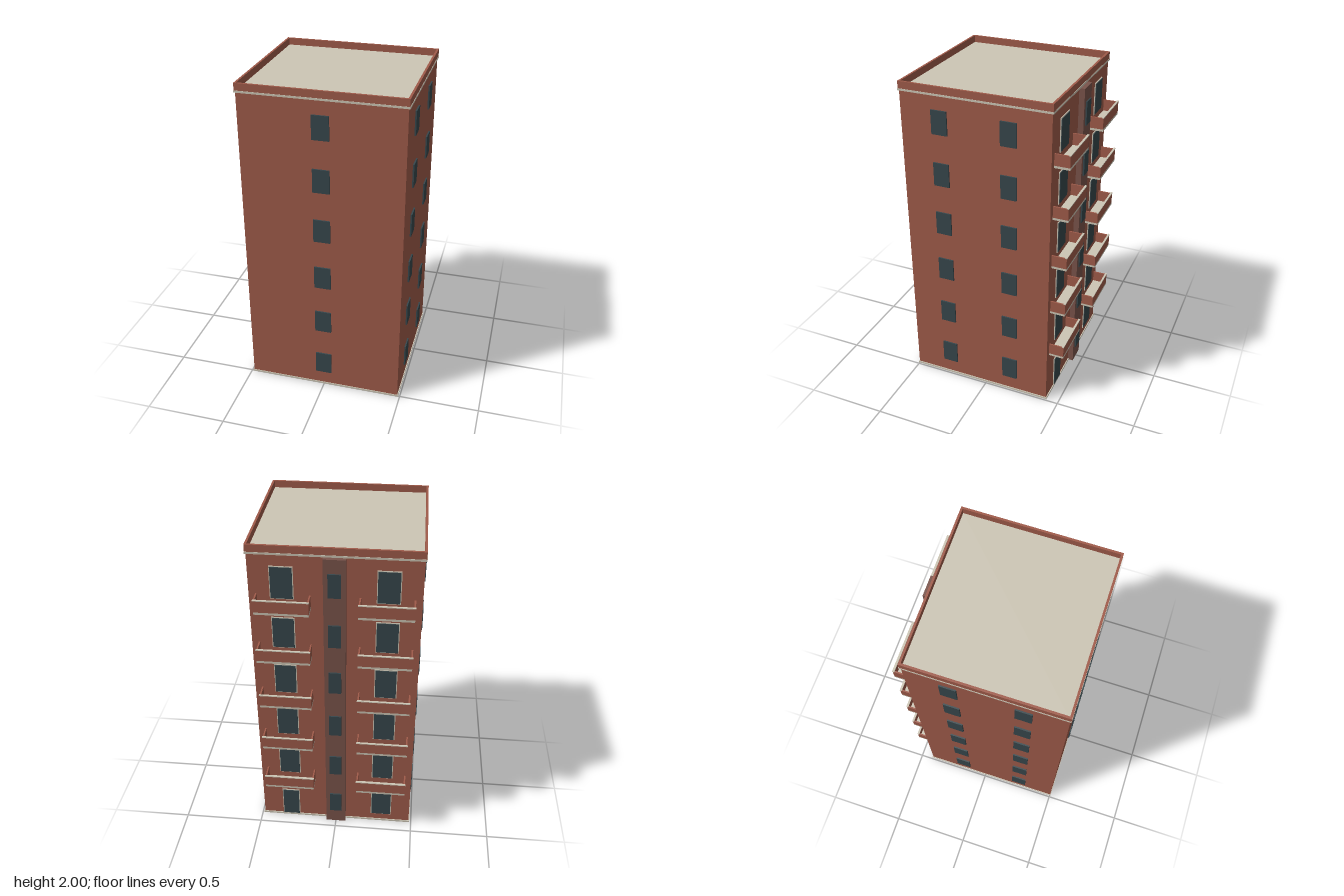
import * as THREE from 'three';

const mat = (name, color) => {
  const m = new THREE.MeshStandardMaterial({ color });
  m.name = name;
  return m;
};

export function createModel() {
  const brick = mat('brick', 0xa05b4a);
  const stone = mat('paleStone', 0xcdc6b5);
  const glass = mat('darkGlass', 0x37474c);
  const shaftBrown = mat('shaftBrown', 0x7a544b);

  const model = new THREE.Group();
  model.name = 'apartmentBlock';

  // Box given by its minimum and maximum on each axis
  const box = (parent, name, material, [x0, x1], [y0, y1], [z0, z1]) => {
    const mesh = new THREE.Mesh(new THREE.BoxGeometry(x1 - x0, y1 - y0, z1 - z0), material);
    mesh.position.set((x0 + x1) / 2, (y0 + y1) / 2, (z0 + z1) / 2);
    mesh.name = name;
    parent.add(mesh);
    return mesh;
  };

  const FLOORS = 6, STEP = 0.323;
  const W = 0.484, FRONT = 0.502, BACK = -0.416;
  const EX = 0.49, EF = 0.506, EB = -0.422;
  const PLATE = 0.009;

  // Main volume, base course and cornice
  box(model, 'walls', brick, [-W, W], [0.012, 1.945], [BACK, FRONT]);
  box(model, 'baseCourse', stone, [-EX, EX], [0, 0.012], [EB, EF]);
  box(model, 'corniceAndRoof', stone, [-EX - 0.002, EX + 0.002], [1.945, 1.957], [EB - 0.002, EF + 0.002]);

  // Hollow roof parapet
  const t = 0.013;
  const ring = new THREE.Shape();
  ring.moveTo(-EX, -EF).lineTo(EX, -EF).lineTo(EX, -EB).lineTo(-EX, -EB).closePath();
  const hole = new THREE.Path();
  hole.moveTo(-EX + t, -EF + t).lineTo(-EX + t, -EB - t).lineTo(EX - t, -EB - t).lineTo(EX - t, -EF + t).closePath();
  ring.holes.push(hole);
  const parapet = new THREE.Mesh(new THREE.ExtrudeGeometry(ring, { depth: 0.043, bevelEnabled: false }), brick);
  parapet.rotation.x = -Math.PI / 2;
  parapet.position.y = 1.957;
  parapet.name = 'roofParapet';
  model.add(parapet);

  // Stair shaft on the back
  box(model, 'stairShaft', shaftBrown, [-0.063, 0.063], [0, 1.945], [-0.45, BACK]);

  // Framed opening on the back wall
  const backOpening = (parent, name, cx, w, y0, y1) => {
    const f = 0.005;
    box(parent, name + 'Frame', stone, [cx - w / 2, cx + w / 2], [y0, y1], [BACK - 0.005, BACK]);
    box(parent, name + 'Pane', glass, [cx - w / 2 + f, cx + w / 2 - f], [y0 + f, y1 - f], [BACK - PLATE, BACK]);
  };

  // Balcony: slab, side walls, front wall with cap
  const balcony = (parent, side, y) => {
    const g = new THREE.Group();
    g.name = 'balcony';
    const x0 = side > 0 ? 0.136 : -0.446, x1 = x0 + 0.31;
    const zo = -0.509, zi = -0.5, top = y + 0.085;
    box(g, 'balconySlab', stone, [x0, x1], [y, y + 0.014], [zo, BACK]);
    box(g, 'balconySideWall', brick, [x0, x0 + 0.009], [y + 0.014, top], [zi, BACK]);
    box(g, 'balconySideWall', brick, [x1 - 0.009, x1], [y + 0.014, top], [zi, BACK]);
    box(g, 'balconyFrontWall', brick, [x0, x1], [y + 0.014, top], [zo, zi]);
    box(g, 'balconyCap', stone, [x0 - 0.002, x1 + 0.002], [top, top + 0.005], [zo - 0.003, zi + 0.001]);
    parent.add(g);
  };

  for (let i = 0; i < FLOORS; i++) {
    const floor = new THREE.Group();
    floor.name = 'floor' + (i + 1);
    model.add(floor);
    const base = i * STEP, ys = [base + 0.1, base + 0.246];

    // Front, shaft and side windows
    box(floor, 'frontWindow', glass, [-0.051, 0.051], ys, [FRONT, FRONT + PLATE]);
    box(floor, 'shaftWindow', glass, [-0.037, 0.037], ys, [-0.45 - PLATE, -0.45]);
    for (const zc of [0.257, -0.165]) {
      box(floor, 'leftWindow', glass, [W, W + PLATE], ys, [zc - 0.049, zc + 0.049]);
      box(floor, 'rightWindow', glass, [-W - PLATE, -W], ys, [zc - 0.049, zc + 0.049]);
    }

    // Back openings, with the entrance door on the ground floor
    for (const side of [-1, 1]) {
      if (i === 0 && side > 0) backOpening(floor, 'entranceDoor', 0.3, 0.113, 0.012, 0.225);
      else backOpening(floor, 'backWindow', side * 0.297, 0.134, base + 0.06, base + 0.262);
      if (i > 0) balcony(floor, side, base + 0.003);
    }
  }
  return model;
}
